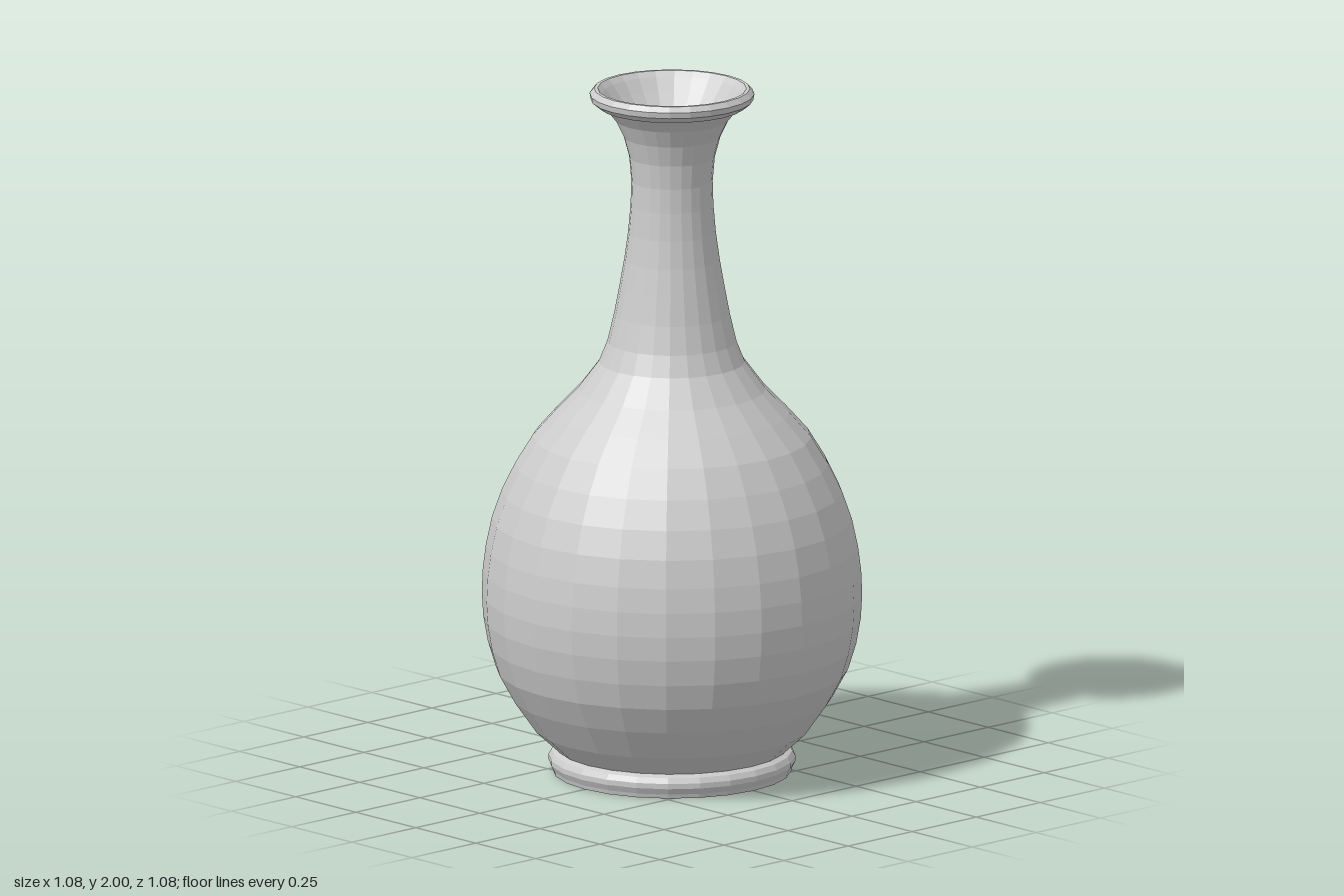
import * as THREE from 'three';

const SIDES = 24;
const material = new THREE.MeshStandardMaterial({ color: 0xcccccc, flatShading: true });

// Turns a list of [radius, height] pairs into a faceted solid of revolution
function turned(name, profile) {
  const points = profile.map(([r, y]) => new THREE.Vector2(r, y));
  const mesh = new THREE.Mesh(new THREE.LatheGeometry(points, SIDES), material);
  mesh.name = name;
  return mesh;
}

export function createModel() {
  const vase = new THREE.Group();
  vase.name = 'vase';

  // Flat underside and rounded foot ring
  vase.add(turned('foot', [
    [0, 0], [0.34, 0], [0.343, 0.012], [0.352, 0.03], [0.352, 0.045], [0.343, 0.06], [0.328, 0.068],
  ]));

  // Round belly narrowing to the shoulder
  const belly = [
    [0.328, 0.068], [0.395, 0.13], [0.458, 0.22], [0.502, 0.3], [0.525, 0.375], [0.538, 0.45],
    [0.542, 0.52], [0.539, 0.59], [0.53, 0.66], [0.513, 0.74], [0.485, 0.82], [0.446, 0.9],
    [0.397, 0.98], [0.335, 1.05], [0.268, 1.12], [0.208, 1.2],
  ];
  vase.add(turned('belly', belly));

  // Slender neck flaring to the mouth
  const neck = [
    [0.208, 1.2], [0.184, 1.26], [0.165, 1.34], [0.15, 1.42], [0.136, 1.5], [0.125, 1.58],
    [0.118, 1.66], [0.116, 1.73], [0.122, 1.8], [0.138, 1.86], [0.162, 1.91], [0.192, 1.948],
  ];
  vase.add(turned('neck', neck));

  // Rolled lip
  vase.add(turned('lip', [
    [0.192, 1.948], [0.21, 1.95], [0.232, 1.968], [0.235, 1.985], [0.222, 2], [0.212, 2], [0.198, 1.985],
  ]));

  // Hollow inside: the outer curve set inward, run from lip to floor
  const wall = 0.021;
  const inner = [...belly.slice(1), ...neck.slice(1)].map(([r, y]) => [r - wall, y]).reverse();
  vase.add(turned('innerWall', [[0.198, 1.985], ...inner, [0.33, 0.085], [0, 0.085]]));

  return vase;
}
